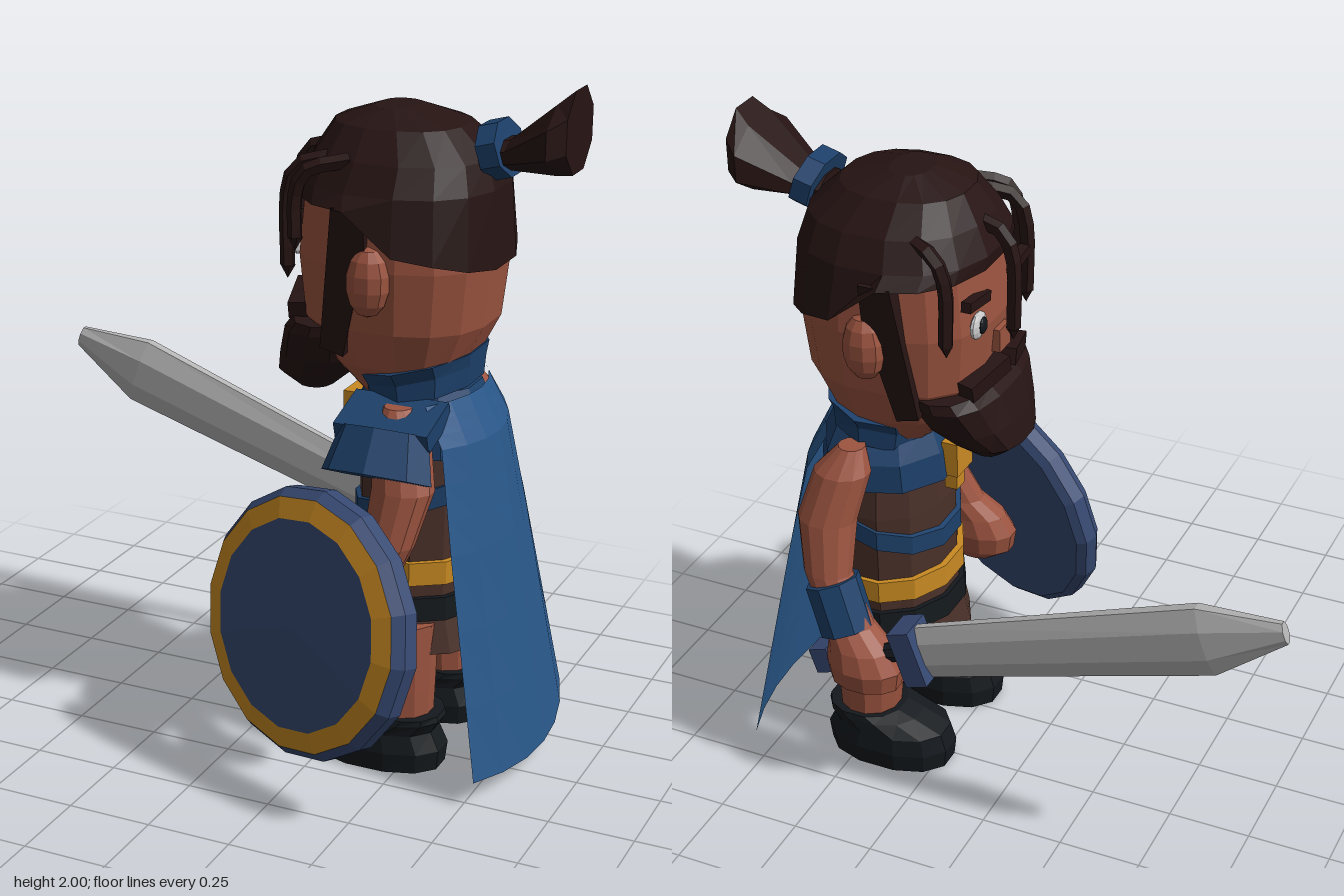
import * as THREE from 'three';

const CZ = -0.11; // middle plane of the figure, which faces -x
const V = (x, y, z) => new THREE.Vector3(x, y, z);
const mat = (color, side = THREE.FrontSide) => new THREE.MeshStandardMaterial({ color, flatShading: true, side });
const SKIN = mat(0x9c5440), HAIR = mat(0x261413), NAVY = mat(0x1d406a), STEEL = mat(0xb4b4b4),
  GOLD = mat(0xc98a22), SHIELD = mat(0x374972), LEATHER = mat(0x4a3029), BLACK = mat(0x14191d),
  WHITE = mat(0xdddddd), CAPE = mat(0x295789, THREE.DoubleSide);

function add(parent, name, geo, material, pos = [0, 0, 0], rot = [0, 0, 0]) {
  const m = new THREE.Mesh(geo, material);
  m.name = name;
  m.position.set(...pos);
  m.rotation.set(...rot);
  parent.add(m);
  return m;
}

// Stack of rounded rings [y, centreX, radiusX, radiusZ, lift(cos), centreZ] from bottom to top, capped
function loft(rings, cz = CZ, n = 12, e = 1) {
  const pos = [], idx = [];
  const pw = v => Math.sign(v) * Math.abs(v) ** e;
  for (const [y, cx, rx, rz, lift, z = cz] of rings) {
    for (let j = 0; j < n; j++) {
      const a = (j + 0.5) / n * Math.PI * 2, c = pw(Math.cos(a));
      pos.push(cx + rx * c, y + (lift ? lift(c) : 0), z + rz * pw(Math.sin(a)));
    }
  }
  const last = rings.length - 1, b = pos.length / 3;
  for (const [y, cx, , , , z = cz] of [rings[0], rings[last]]) pos.push(cx, y, z);
  for (let j = 0; j < n; j++) {
    const k = (j + 1) % n;
    for (let i = 0; i < last; i++) {
      const p = i * n + j, q = i * n + k;
      idx.push(p, p + n, q, q, p + n, q + n);
    }
    idx.push(b, j, k, b + 1, last * n + k, last * n + j);
  }
  const g = new THREE.BufferGeometry();
  g.setAttribute('position', new THREE.Float32BufferAttribute(pos, 3));
  g.setIndex(idx);
  g.computeVertexNormals();
  return g;
}

// The same stack laid along +x: rings [x, -centreY, radiusY, radiusZ]
const loftX = (rings, cz, n) => loft(rings, cz, n).rotateZ(-Math.PI / 2);

// Tapered cylinder between two points
function limb(parent, name, a, b, ra, rb, material, sides = 10) {
  const d = b.clone().sub(a);
  const m = add(parent, name, new THREE.CylinderGeometry(rb, ra, d.length(), sides), material);
  m.position.copy(a).addScaledVector(d, 0.5);
  m.quaternion.setFromUnitVectors(V(0, 1, 0), d.normalize());
  return m;
}

function ball(parent, name, pos, r, material) {
  add(parent, name, new THREE.SphereGeometry(1, 10, 7), material, pos).scale.set(...r);
}

function buildHead() {
  const g = new THREE.Group();
  g.name = 'head';
  add(g, 'face', loft([[1.08, 0.44, 0.13, 0.14], [1.2, 0.4, 0.2, 0.22], [1.32, 0.39, 0.27, 0.265],
    [1.5, 0.39, 0.29, 0.28], [1.72, 0.39, 0.27, 0.27]], CZ, 16, 0.8), SKIN);
  const hairline = c => (c > 0 ? -0.07 * c * c : c < -0.2 ? 0.11 : 0);
  add(g, 'hairCap', loft([[1.56, 0.4, 0.295, 0.325, hairline], [1.71, 0.39, 0.29, 0.29],
    [1.79, 0.395, 0.26, 0.245], [1.87, 0.375, 0.19, 0.17], [1.91, 0.36, 0.06, 0.08]], CZ, 16, 0.85), HAIR);
  add(g, 'beard', loft([[1.07, 0.13, 0.05, 0.08], [1.12, 0.13, 0.11, 0.14], [1.19, 0.17, 0.13, 0.2],
    [1.28, 0.2, 0.13, 0.25], [1.31, 0.21, 0.11, 0.25]], CZ, 14, 0.8), HAIR);
  add(g, 'nose', new THREE.BoxGeometry(0.04, 0.07, 0.07), SKIN, [0.11, 1.43, CZ]);
  // Features mirrored over the two sides of the face
  for (const s of [-1, 1]) {
    ball(g, 'ear', [0.39, 1.47, CZ + s * 0.275], [0.065, 0.1, 0.05], SKIN);
    ball(g, 'eye', [0.115, 1.52, CZ + s * 0.12], [0.015, 0.04, 0.045], WHITE);
    ball(g, 'pupil', [0.103, 1.52, CZ + s * 0.115], [0.01, 0.025, 0.024], BLACK);
    add(g, 'eyebrow', new THREE.BoxGeometry(0.03, 0.03, 0.13), HAIR, [0.115, 1.6, CZ + s * 0.13], [s * -0.15, 0, 0]);
    add(g, 'moustache', new THREE.BoxGeometry(0.07, 0.05, 0.17), HAIR, [0.12, 1.345, CZ + s * 0.09], [s * 0.2, s * 0.25, 0]);
    const outline = [[0.24, -0.24], [0.31, -0.26], [0.385, 0.06], [0.385, 0.18], [0.29, 0.18]];
    const burn = new THREE.ExtrudeGeometry(new THREE.Shape(outline.map(p => new THREE.Vector2(...p))),
      { depth: 0.06, bevelEnabled: false }).translate(0, 0, -0.03);
    add(g, 'sideburn', burn, HAIR, [0, 1.5, CZ + s * 0.255], [s * 0.12, 0, 0]);
  }
  // Loose locks falling over the forehead
  for (const [x, z, end] of [[0.06, -0.12, 1.47], [0.12, 0.1, 1.47], [0.17, 0.16, 1.57], [0.16, -0.34, 1.5]]) {
    const path = new THREE.CatmullRomCurve3([V(x + 0.14, 1.79, z * 0.8 - 0.02), V(x + 0.03, 1.76, z), V(x, 1.69, z), V(x, end, z)]);
    add(g, 'lock', new THREE.TubeGeometry(path, 8, 0.022, 5), HAIR);
    add(g, 'lockTip', new THREE.ConeGeometry(0.022, 0.04, 5), HAIR, [x, end - 0.018, z], [Math.PI, 0, 0]);
  }
  // Tied top tail with a flat end
  const tilt = c => c * 0.025;
  add(g, 'hairBand', loftX([[0.635, -1.805, 0.08, 0.115, tilt], [0.69, -1.82, 0.08, 0.115, tilt]], CZ, 8), NAVY);
  add(g, 'topTail', loftX([[0.62, -1.79, 0.05, 0.08], [0.7, -1.805, 0.045, 0.09], [0.84, -1.865, 0.105, 0.16],
    [0.885, -1.885, 0.125, 0.12]], CZ, 8), HAIR);
  return g;
}

function buildBody() {
  const g = new THREE.Group();
  g.name = 'body';
  add(g, 'tunic', loft([[0.42, 0.46, 0.19, 0.22], [0.62, 0.46, 0.18, 0.22], [0.85, 0.46, 0.18, 0.22],
    [1.02, 0.46, 0.17, 0.2], [1.1, 0.46, 0.12, 0.15]]), LEATHER);
  add(g, 'skirt', loft([[0.36, 0.465, 0.225, 0.245], [0.47, 0.46, 0.195, 0.228]]), LEATHER);
  add(g, 'darkBelt', loft([[0.46, 0.46, 0.205, 0.24], [0.53, 0.46, 0.2, 0.235]]), BLACK);
  add(g, 'goldBelt', loft([[0.57, 0.46, 0.2, 0.235], [0.64, 0.46, 0.2, 0.235]]), GOLD);
  const slant = c => c * 0.06;
  add(g, 'sash', loft([[0.77, 0.46, 0.195, 0.23, slant], [0.83, 0.46, 0.195, 0.23, slant]]), NAVY);
  add(g, 'cowl', loft([[0.95, 0.46, 0.21, 0.23], [1.04, 0.46, 0.2, 0.23], [1.13, 0.46, 0.16, 0.18]], CZ, 10), NAVY);
  const back = c => c * 0.04;
  add(g, 'collar', loft([[1.1, 0.46, 0.16, 0.21, back], [1.16, 0.455, 0.17, 0.215, back], [1.2, 0.45, 0.18, 0.245, back]], CZ, 10), NAVY);
  add(g, 'clasp', new THREE.BoxGeometry(0.05, 0.11, 0.1), GOLD, [0.25, 1.01, CZ]);
  add(g, 'claspDrop', new THREE.BoxGeometry(0.04, 0.07, 0.05), GOLD, [0.26, 0.93, CZ]);
  for (const s of [-1, 1]) {
    const z = CZ + s * 0.175;
    add(g, 'leg', loft([[0.1, 0.48, 0.09, 0.09], [0.25, 0.475, 0.1, 0.1], [0.45, 0.46, 0.12, 0.105]], z), SKIN);
    add(g, 'boot', loft([[0, 0.41, 0.2, 0.12], [0.06, 0.41, 0.207, 0.127], [0.115, 0.405, 0.185, 0.12],
      [0.15, 0.46, 0.15, 0.115], [0.168, 0.485, 0.12, 0.11]], z, 12, 0.9), BLACK);
  }
  return g;
}

// Cape: a plane widened, flared backwards and curved round the sides
function buildCape() {
  const geo = new THREE.PlaneGeometry(2, 3, 6, 9);
  const rows = [[1.12, 0.63, 0.23], [1.0, 0.69, 0.25], [0.7, 0.745, 0.3], [0.05, 0.86, 0.375]];
  const p = geo.attributes.position;
  for (let i = 0; i < p.count; i++) {
    const s = p.getX(i), t = 1.5 - p.getY(i), k = Math.min(2, Math.floor(t + 1e-6));
    const [y, x, w] = rows[k].map((v, q) => v + (rows[k + 1][q] - v) * (t - k));
    p.setXYZ(i, x - 0.08 * s * s, y + 0.025 * s * s * t / 3, CZ + s * w);
  }
  geo.computeVertexNormals();
  const m = new THREE.Mesh(geo, CAPE);
  m.name = 'cape';
  return m;
}

// Arm from fist to shoulder, hanging outwards on side s
function buildArm(name, s) {
  const g = new THREE.Group();
  g.name = name;
  const rings = [[0.385, 0.38, 0.06, 0.04, 0.385], [0.42, 0.37, 0.11, 0.075, 0.395], [0.48, 0.37, 0.12, 0.085, 0.395],
    [0.54, 0.385, 0.1, 0.075, 0.39], [0.6, 0.43, 0.08, 0.062, 0.375], [0.75, 0.5, 0.075, 0.06, 0.355],
    [0.9, 0.52, 0.09, 0.075, 0.305], [1.04, 0.49, 0.085, 0.075, 0.255], [1.11, 0.47, 0.04, 0.04, 0.23]];
  add(g, 'armAndFist', loft(rings.map(([y, x, rx, rz, z]) => [y, x, rx, rz, null, CZ + s * z])), SKIN);
  return g;
}

function buildSword() {
  const g = new THREE.Group();
  g.name = 'sword';
  add(g, 'blade', loftX([[0, 0, 0.09, 0.027], [0.93, 0, 0.115, 0.042], [1.165, 0.01, 0.035, 0.02]], 0, 8), STEEL);
  add(g, 'guard', new THREE.BoxGeometry(0.07, 0.18, 0.11), SHIELD, [-0.01, 0, 0]);
  add(g, 'grip', new THREE.CylinderGeometry(0.03, 0.03, 0.3, 8), BLACK, [-0.18, 0, 0], [0, 0, Math.PI / 2]);
  add(g, 'pommel', new THREE.BoxGeometry(0.06, 0.08, 0.07), SHIELD, [-0.32, 0, 0]);
  g.position.set(0.2, 0.565, -0.497);
  g.rotation.z = Math.PI - 0.33;
  return g;
}

function buildShield() {
  const g = new THREE.Group();
  g.name = 'shield';
  const lathe = pts => new THREE.LatheGeometry(pts.map(p => new THREE.Vector2(...p)), 16);
  add(g, 'shieldBody', lathe([[0, -0.05], [0.36, -0.05], [0.385, -0.03], [0.385, 0.015], [0.36, 0.045]]), SHIELD);
  add(g, 'goldRing', lathe([[0.36, 0.045], [0.3, 0.06]]), GOLD);
  add(g, 'shieldFace', lathe([[0.3, 0.06], [0, 0.065]]), SHIELD);
  g.position.set(0.33, 0.54, 0.405);
  g.quaternion.setFromUnitVectors(V(0, 1, 0), V(-0.36, 0.17, 0.93).normalize());
  return g;
}

export function createModel() {
  const model = new THREE.Group();
  model.name = 'warrior';
  const shieldArm = buildArm('shieldArm', 1), swordArm = buildArm('swordArm', -1);
  limb(swordArm, 'bracer', V(0.43, 0.575, -0.49), V(0.485, 0.72, -0.47), 0.082, 0.082, NAVY, 8);
  // Flared sleeve guard and shoulder flap on the shield side
  add(shieldArm, 'shoulderFlap', new THREE.BoxGeometry(0.28, 0.06, 0.17), NAVY, [0.46, 1.07, 0.14], [0.3, 0, 0]);
  limb(shieldArm, 'sleeveGuard', V(0.46, 0.94, 0.25), V(0.46, 1.06, 0.195), 0.1, 0.08, NAVY, 8).scale.x = 1.65;
  model.add(buildHead(), buildBody(), buildCape(), shieldArm, swordArm, buildSword(), buildShield());
  return model;
}
